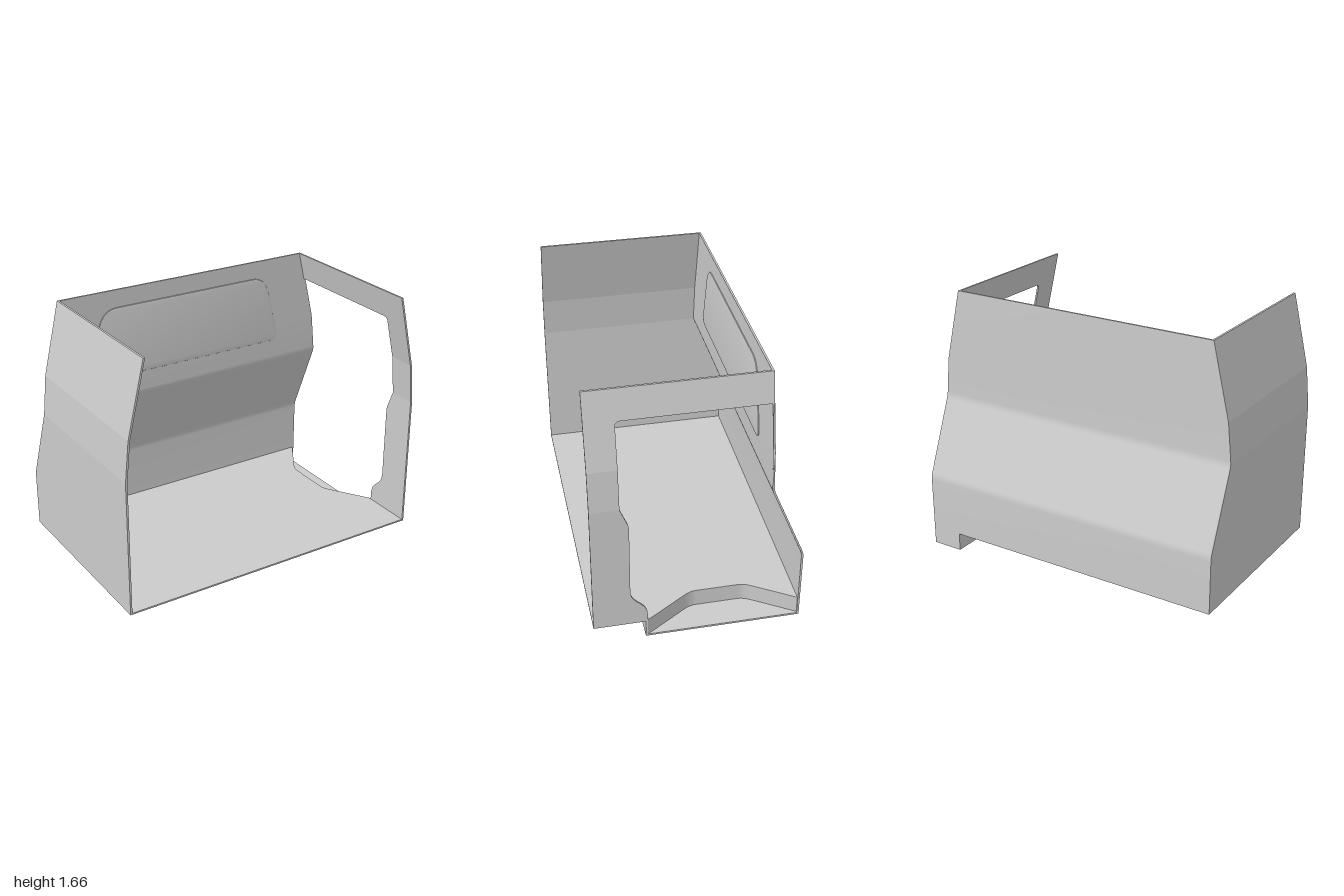
import * as THREE from 'three';
import { toCreasedNormals } from 'three/addons/utils/BufferGeometryUtils.js';

const T = 0.012; // sheet thickness
const FLOOR = 0.115;
const material = new THREE.MeshStandardMaterial({ color: 0xcccccc, side: THREE.DoubleSide });

// half width of the body at height y
function halfWidth(y) {
  if (y <= 0.96) return 1;
  if (y <= 1.21) return 1 - 0.025 * (y - 0.96) / 0.25;
  return 0.975 - 0.105 * (y - 1.21) / 0.45;
}

const toShape = (pts) => new THREE.Shape(pts.map(([a, b]) => new THREE.Vector2(a, b)));
const extrude = (shape, depth) =>
  new THREE.ExtrudeGeometry(shape, { depth, bevelEnabled: false, curveSegments: 8 });

function moveVertices(geometry, rule) {
  const p = geometry.attributes.position;
  for (let i = 0; i < p.count; i++) p.setX(i, rule(p.getX(i), p.getY(i)));
  return geometry;
}

function addMesh(parent, name, geometry, crease = 0.5) {
  const mesh = new THREE.Mesh(toCreasedNormals(geometry, crease), material);
  mesh.name = name;
  parent.add(mesh);
  return mesh;
}

// points of a quadratic curve, used to round corners
function bend(a, c, b, n = 6) {
  const v = (p) => new THREE.Vector2(p[0], p[1]);
  return new THREE.QuadraticBezierCurve(v(a), v(c), v(b)).getPoints(n).map((p) => [p.x, p.y]);
}

// side sheet drawn in (z, y), leaning inwards with height
function addSide(parent, name, pts, side) {
  const g = extrude(toShape(pts), T).rotateY(-Math.PI / 2);
  addMesh(parent, name, moveVertices(g, (x, y) => (side > 0 ? x + halfWidth(y) : x + T - halfWidth(y))));
}

// plate drawn in (x, z), lying flat
function addPlate(parent, name, pts, y, height) {
  const g = extrude(toShape(pts.map(([x, z]) => [x, -z])), height).rotateX(-Math.PI / 2);
  addMesh(parent, name, g.translate(0, y, 0));
}

export function createModel() {
  const group = new THREE.Group();
  group.name = 'cabShell';

  // back wall: bent sheet swept across the width, narrowing upwards
  const outer = [
    [-0.62, FLOOR],
    ...bend([-0.62, 0.45], [-0.62, 0.475], [-0.61, 0.498], 4),
    ...bend([-0.43, 0.936], [-0.42, 0.96], [-0.42, 0.985], 4),
    [-0.42, 1.21], [-0.42, 1.66],
  ];
  const inner = outer.map(([z, y]) => [z + T, y]).reverse();
  const back = extrude(toShape([...outer, ...inner]), 2).rotateY(-Math.PI / 2).translate(1, 0, 0);
  addMesh(group, 'backWall', moveVertices(back, (x, y) => x * halfWidth(y)));

  // raised window panel on the inside of the back wall
  const pane = new THREE.Shape();
  pane.moveTo(-0.63, 1.1);
  pane.lineTo(0.63, 1.1);
  pane.quadraticCurveTo(0.695, 1.1, 0.68, 1.165);
  pane.lineTo(0.615, 1.43);
  pane.quadraticCurveTo(0.585, 1.545, 0.49, 1.545);
  pane.lineTo(-0.49, 1.545);
  pane.quadraticCurveTo(-0.585, 1.545, -0.615, 1.43);
  pane.lineTo(-0.68, 1.165);
  pane.quadraticCurveTo(-0.695, 1.1, -0.63, 1.1);
  const paneGeometry = new THREE.ExtrudeGeometry(pane, {
    depth: 0.002, bevelSize: 0.006, bevelOffset: -0.003, bevelThickness: 0.004, bevelSegments: 2, curveSegments: 8,
  });
  addMesh(group, 'rearWindowPanel', paneGeometry.translate(0, 0, -0.42 + T));

  // closed side wall in three bands
  const closed = new THREE.Group();
  closed.name = 'closedSideWall';
  group.add(closed);
  addSide(closed, 'lowerPanel', [
    [0.62, FLOOR], [0.62, 0.96], [-0.42, 0.96], [-0.62, 0.475], [-0.62, FLOOR],
  ], -1);
  addSide(closed, 'middlePanel', [[0.62, 0.96], [0.62, 1.21], [-0.42, 1.21], [-0.42, 0.96]], -1);
  addSide(closed, 'upperPanel', [[0.62, 1.21], [0.62, 1.66], [-0.42, 1.66], [-0.42, 1.21]], -1);

  // door side: front post and header around the opening
  const door = new THREE.Group();
  door.name = 'doorSideWall';
  group.add(door);
  addSide(door, 'lowerPost', [
    [0.62, FLOOR], [0.62, 0.96], [0.45, 0.96],
    ...bend([0.406, 0.85], [0.4, 0.835], [0.4, 0.815], 4),
    ...bend([0.4, 0.36], [0.4, 0.305], [0.35, 0.265]),
    ...bend([0.35, 0.265], [0.3, 0.225], [0.3, 0.17]).slice(1),
    [0.3, FLOOR],
  ], 1);
  addSide(door, 'middlePost', [[0.62, 0.96], [0.62, 1.21], [0.45, 1.21], [0.45, 0.96]], 1);
  addSide(door, 'upperPostAndHeader', [
    [0.62, 1.21], [0.62, 1.66], [-0.42, 1.66], [-0.42, 1.48],
    ...bend([0.42, 1.48], [0.45, 1.48], [0.45, 1.45]), [0.45, 1.21],
  ], 1);

  // step recess outline shared by the floor and the riser
  const recess = [
    [1, 0.3],
    ...bend([0.835, 0.045], [0.81, 0.005], [0.81, -0.03]),
    ...bend([0.81, -0.29], [0.81, -0.325], [0.835, -0.365]),
    [0.99, -0.608], [1, -0.608],
  ];
  addPlate(group, 'floor', [[-1, 0.62], [1, 0.62], ...recess, [1, -0.62], [-1, -0.62]], FLOOR, 0.01);
  addPlate(group, 'stepRiser', [[1, 0.312], ...recess, [1, -0.62], [0.8, -0.62], [0.8, 0.312]], T, FLOOR - T);
  const tread = new THREE.BoxGeometry(0.2, T, 0.932).translate(0.9, T / 2, -0.154);
  addMesh(group, 'stepTread', tread);

  return group;
}
